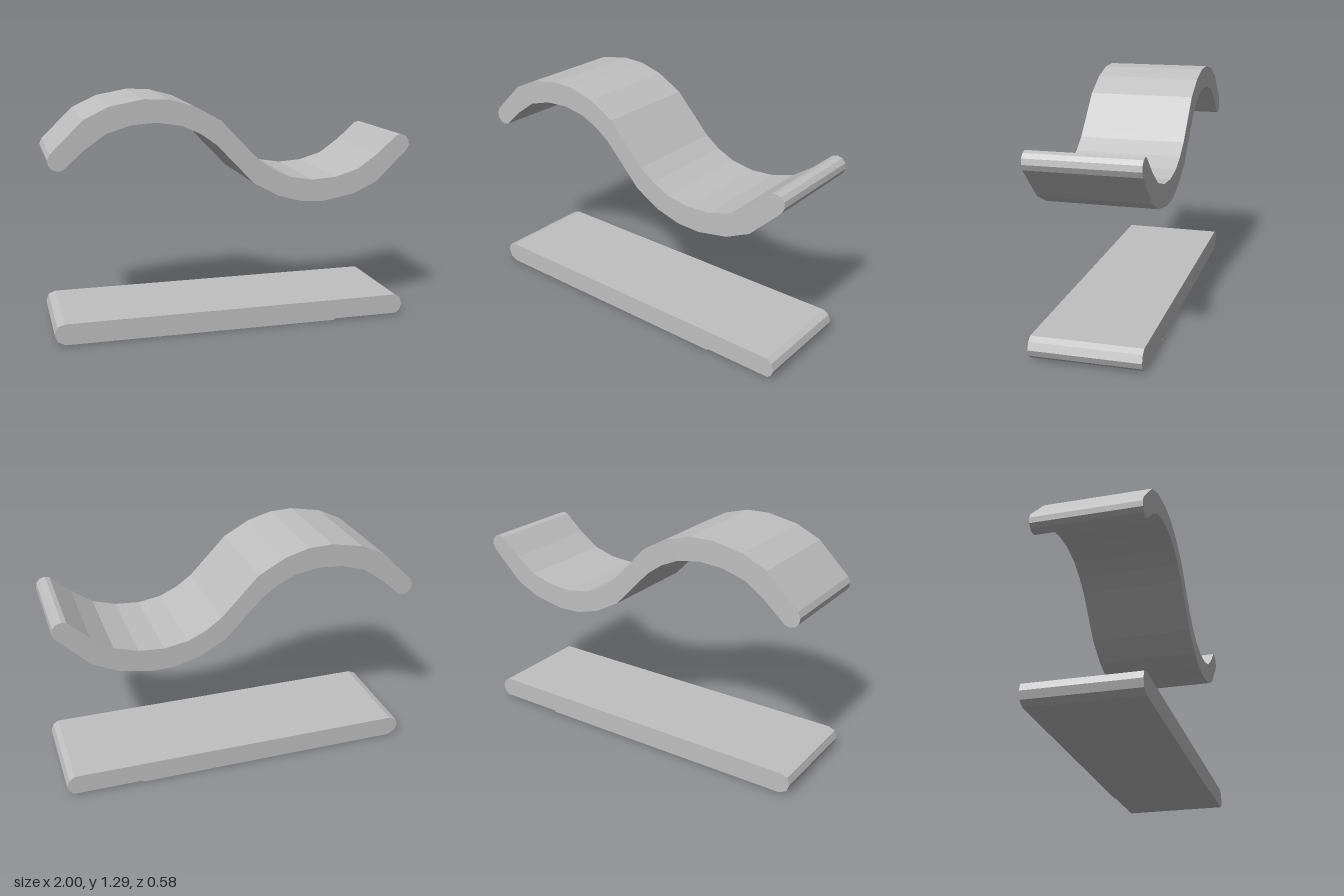
import * as THREE from 'three';

const DEPTH = 0.585;

// Extrudes an x/y outline into a band running from front to back
function band(name, points, material) {
  const shape = new THREE.Shape(points.map(([x, y]) => new THREE.Vector2(x, y)));
  const geometry = new THREE.ExtrudeGeometry(shape, { depth: DEPTH, bevelEnabled: false });
  geometry.translate(0, 0, -DEPTH / 2);
  const mesh = new THREE.Mesh(geometry, material);
  mesh.name = name;
  return mesh;
}

export function createModel() {
  const group = new THREE.Group();
  group.name = 'wavyAndFlatPlates';
  const grey = new THREE.MeshStandardMaterial({ color: 0xc0c0c0, flatShading: true });
  grey.name = 'light grey';

  // Upper side of the wave with its right end cap; a half turn gives the rest
  const upper = [
    [-0.985, 1.03], [-0.81, 1.2], [-0.675, 1.263], [-0.5, 1.295], [-0.37, 1.29],
    [-0.235, 1.252], [-0.09, 1.172], [0.04, 1.035], [0.115, 0.957], [0.2, 0.896],
    [0.3, 0.85], [0.43, 0.828], [0.565, 0.837], [0.695, 0.875], [0.81, 0.955],
    [0.92, 1.053], [0.945, 1.06], [0.975, 1.052], [0.995, 1.03], [1, 1.0],
  ];
  const lower = upper.map(([x, y]) => [-x, 2 - y]);
  group.add(band('wavePlate', [...upper, ...lower], grey));

  // Flat plate with rounded ends
  group.add(band('flatPlate', [
    [-0.945, 0.003], [0.58, 0], [0.58, 0.008], [0.965, 0.008], [0.985, 0.025],
    [1, 0.06], [0.985, 0.1], [0.955, 0.12], [-0.945, 0.12], [-0.985, 0.105],
    [-1, 0.065], [-0.985, 0.025],
  ], grey));
  return group;
}
